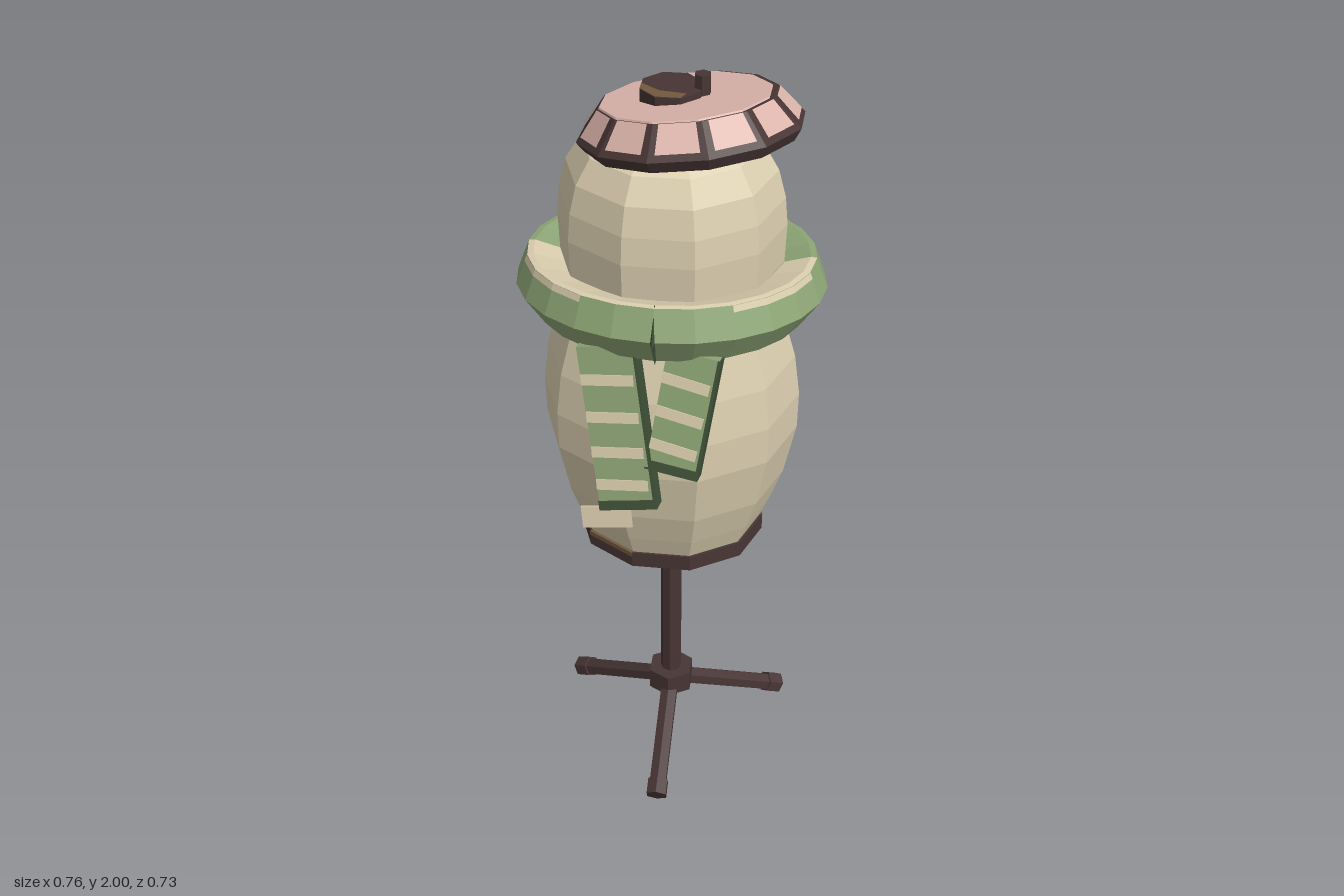
import * as THREE from 'three';

const mat = (name, color) => {
  const m = new THREE.MeshStandardMaterial({ color });
  m.name = name;
  return m;
};

export function createModel() {
  const cream = mat('cream', 0xdccfb0);
  const green = mat('green', 0x8ea676);
  const darkGreen = mat('dark green', 0x3f5038);
  const pink = mat('pink', 0xdcb5ac);
  const brown = mat('dark brown', 0x483535);
  const bronze = mat('bronze', 0x72593f);
  const model = new THREE.Group();

  // Faceted mesh with hard edges
  const add = (name, geo, material, parent = model) => {
    const g = geo.index ? geo.toNonIndexed() : geo;
    g.computeVertexNormals();
    const mesh = new THREE.Mesh(g, material);
    mesh.name = name;
    parent.add(mesh);
    return mesh;
  };
  const group = (name, x, y, z, rx = 0, ry = 0, rz = 0) => {
    const g = new THREE.Group();
    g.name = name;
    g.position.set(x, y, z);
    g.rotation.set(rx, ry, rz);
    model.add(g);
    return g;
  };
  const lathe = (pts, segs, start = 0, length = Math.PI * 2) =>
    new THREE.LatheGeometry(pts.map(p => new THREE.Vector2(...p)), segs, start, length);
  const rod = (name, a, b, r, sides = 6) => {
    const dir = b.clone().sub(a);
    const mesh = add(name, new THREE.CylinderGeometry(r, r, dir.length(), sides), brown);
    mesh.position.copy(a).addScaledVector(dir, 0.5);
    mesh.quaternion.setFromUnitVectors(new THREE.Vector3(0, 1, 0), dir.normalize());
  };

  // Torso and head form, ten sided
  const turn = Math.PI / 10;
  add('torso', lathe([[0, 0.76], [0.228, 0.76], [0.257, 0.83], [0.29, 0.92], [0.32, 1.06], [0.322, 1.16],
    [0.308, 1.27], [0.274, 1.39], [0.24, 1.46]], 10, turn), cream).scale.z = 0.89;
  const head = add('head', lathe([[0.24, 1.42], [0.272, 1.53], [0.276, 1.63], [0.27, 1.7], [0.252, 1.77],
    [0.214, 1.83], [0.14, 1.875], [0, 1.89]], 10, turn), cream);
  head.scale.z = 0.94;
  head.position.z = -0.008;

  // Base plate with worn patches on its upper edge
  add('basePlate', lathe([[0, 0.73], [0.24, 0.73], [0.24, 0.772], [0, 0.772]], 10, turn), brown).scale.z = 0.89;
  for (const k of [2, 5, 8])
    add('plateWear', lathe([[0.242, 0.76], [0.242, 0.773], [0.225, 0.774]], 1, turn + k * 2 * turn, 2 * turn),
      bronze).scale.z = 0.89;

  // Stand: collar, pole, hub and three legs
  const v = (x, y, z) => new THREE.Vector3(x, y, z);
  rod('collar', v(0, 0.67, 0), v(0, 0.735, 0), 0.057, 8);
  rod('pole', v(0, 0.18, 0), v(0, 0.7, 0), 0.028, 8);
  rod('hub', v(0, 0.165, 0), v(0, 0.225, 0), 0.064, 6);
  for (let i = 0; i < 8; i++) {
    const a = Math.PI / 4 * (i + 0.5);
    const inlay = add('collarInlay', new THREE.BoxGeometry(0.016, 0.022, 0.008), cream);
    inlay.position.set(Math.sin(a) * 0.051, 0.712, Math.cos(a) * 0.051);
    inlay.rotation.y = a;
  }
  for (const [x, z] of [[0, 0.315], [0.288, -0.18], [-0.288, -0.18]]) {
    const top = v(0, 0.19, 0), end = v(x, 0.028, z);
    rod('leg', top, end, 0.025);
    rod('foot', top.clone().lerp(end, 0.88), end, 0.03);
  }

  // Scarf ring, tilted up at the front, with a two-tone top
  const scarf = group('scarf', 0, 1.465, -0.01, -0.07);
  scarf.scale.z = 0.92;
  add('scarfBand', lathe([[0.23, -0.055], [0.328, -0.07], [0.378, 0], [0.35, 0.075]], 24), green, scarf);
  const scarfTop = [[0.35, 0.075], [0.335, 0.077], [0.22, 0.045]];
  add('scarfTopFront', lathe(scarfTop, 12, -Math.PI / 2, Math.PI), cream, scarf);
  add('scarfTopBack', lathe(scarfTop, 12, Math.PI / 2, Math.PI), green, scarf);

  // Cream streaks on the ring: [first segment, segment count, lower height, upper height]
  const bandRadius = y => 0.3795 - y * 0.028 / 0.075;
  for (const [first, count, low, high] of [[2, 3, 0.06, 0.075], [-5, 3, 0.06, 0.075], [10, 4, 0.05, 0.075],
    [7, 3, 0.003, 0.02], [14, 3, 0.003, 0.02]]) {
    add('scarfStreak', lathe([[bandRadius(low), low], [bandRadius(high), high]], count,
      first * Math.PI / 12, count * Math.PI / 12), cream, scarf);
  }
  const fold = add('scarfFold', new THREE.OctahedronGeometry(1), darkGreen);
  fold.scale.set(0.016, 0.082, 0.06);
  fold.position.set(0, 1.487, 0.297);

  // Hanging scarf ends with stripes and a dark hem
  const tail = (name, x, y, z, w, h, rx, rz, stripes) => {
    const g = group(name, x, y, z, rx, -0.1, rz);
    add('tailCloth', new THREE.BoxGeometry(w, h, 0.042), green, g);
    const hem = add('tailHem', new THREE.BoxGeometry(w + 0.004, 0.024, 0.048), darkGreen, g);
    hem.position.y = -h / 2 + 0.012;
    const side = add('tailSide', new THREE.BoxGeometry(0.008, h, 0.046), darkGreen, g);
    side.position.x = w / 2;
    for (const s of stripes) {
      const stripe = add('tailStripe', new THREE.BoxGeometry(w * 0.92, 0.027, 0.006), cream, g);
      stripe.position.set(-w * 0.04, s, 0.021);
      stripe.rotation.z = -0.06;
    }
  };
  tail('longScarfEnd', -0.087, 1.23, 0.3, 0.138, 0.42, -0.18, 0.15, [0.125, 0.03, -0.06, -0.145]);
  tail('shortScarfEnd', 0.068, 1.28, 0.298, 0.125, 0.31, -0.22, -0.15, [0.08, -0.005, -0.09]);
  const label = add('clothTag', new THREE.BoxGeometry(0.122, 0.06, 0.005), cream);
  label.position.set(-0.113, 0.992, 0.345);
  label.rotation.set(-0.1, 0, 0.1);

  // Tilted hat: dark shell, pink top and a ring of side panels
  const hat = group('hat', 0.049, 1.842, 0.001, -0.13, 0, 0.12);
  hat.scale.set(1.025, 1, 0.98);
  const sides = 12, half = Math.PI / sides;
  const rim = [0.262, 0.028], crown = [0.205, 0.1];
  add('hatShell', lathe([[0, 0], [0.243, 0], rim, crown, [0, 0.1]], sides, half), brown, hat);
  const hatTop = add('hatTop', lathe([[0.198, 0.1], [0.196, 0.104], [0, 0.104]], sides, half), pink, hat);
  hatTop.position.set(-0.004, 0, 0.006);
  const corner = (a, t) => {
    const r = THREE.MathUtils.lerp(rim[0], crown[0], t), y = THREE.MathUtils.lerp(rim[1], crown[1], t);
    return v(Math.sin(a) * r, y, Math.cos(a) * r);
  };
  for (let i = 0; i < sides; i++) {
    const mid = i * 2 * half;
    const point = (s, t) => corner(mid - half, t).lerp(corner(mid + half, t), s)
      .add(v(Math.sin(mid) * 0.004, 0.003, Math.cos(mid) * 0.004));
    const a = point(0.12, 0.18), b = point(0.88, 0.18), c = point(0.88, 0.97), d = point(0.12, 0.97);
    add('hatPanel', new THREE.BufferGeometry().setFromPoints([a, b, c, a, c, d]), pink, hat);
  }

  // Finial on top of the hat with a worn edge and a small peg
  const knob = group('finial', 0, 1.9, -0.01);
  add('knob', lathe([[0, 0], [0.076, 0], [0.076, 0.067], [0, 0.067]], 8, Math.PI / 8), brown, knob);
  const worn = new THREE.Shape([[-0.07, 0], [-0.07, -0.029], [-0.029, -0.07], [0.029, -0.07], [0.04, -0.045],
    [-0.025, -0.035]].map(p => new THREE.Vector2(...p)));
  const patch = add('wornEdge', new THREE.ShapeGeometry(worn), bronze, knob);
  patch.rotation.x = -Math.PI / 2;
  patch.position.y = 0.069;
  rod('peg', v(0.071, 1.9, -0.011), v(0.071, 2, -0.011), 0.02, 6);

  return model;
}
